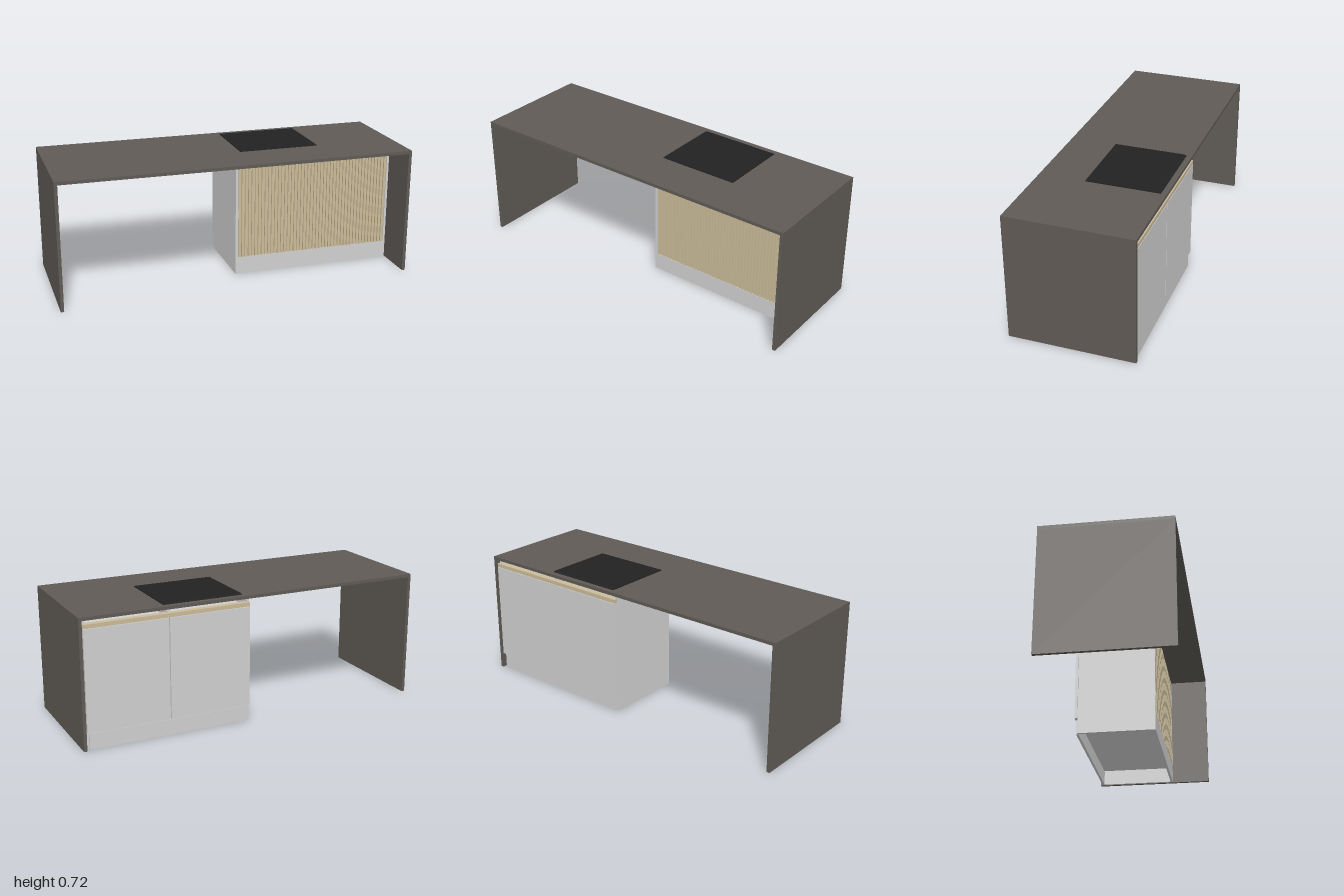
import * as THREE from 'three';

const material = (name, color, extra = {}) => {
  const m = new THREE.MeshStandardMaterial({ color, ...extra });
  m.name = name;
  return m;
};

export function createModel() {
  const stone = material('dark stone', 0x5f5a55);
  const white = material('light grey lacquer', 0xd0d0d0);
  const wood = material('pale wood', 0xcabb99);
  const glass = material('black glass', 0x222222);

  const model = new THREE.Group();
  model.name = 'kitchenIsland';
  const cabinet = new THREE.Group();
  cabinet.name = 'cabinet';
  model.add(cabinet);

  // Box from its minimum and maximum on each axis
  const box = (parent, name, mat, [x0, x1], [y0, y1], [z0, z1]) => {
    const mesh = new THREE.Mesh(new THREE.BoxGeometry(x1 - x0, y1 - y0, z1 - z0), mat);
    mesh.position.set((x0 + x1) / 2, (y0 + y1) / 2, (z0 + z1) / 2);
    mesh.name = name;
    parent.add(mesh);
    return mesh;
  };

  // Worktop and the two full-depth end panels
  const depth = [-0.35, 0.35];
  box(model, 'worktop', stone, [-1, 1], [0.7, 0.718], depth);
  box(model, 'rightEndPanel', stone, [-1, -0.982], [0, 0.7], depth);
  box(model, 'leftEndPanel', stone, [0.982, 1], [0, 0.7], depth);

  // Hob: glass plate with a slim bevel along its back edge, and the body below
  const profile = new THREE.Shape([
    new THREE.Vector2(-0.09, 0.718), new THREE.Vector2(0.32, 0.718),
    new THREE.Vector2(0.305, 0.723), new THREE.Vector2(-0.09, 0.723),
  ]);
  const hob = new THREE.Mesh(
    new THREE.ExtrudeGeometry(profile, { depth: 0.456, bevelEnabled: false }), glass);
  hob.rotation.y = Math.PI / 2;
  hob.position.x = 0.075;
  hob.name = 'hobPlate';
  model.add(hob);
  box(model, 'hobBody', glass, [0.1, 0.505], [0.685, 0.7], [-0.29, 0.06]);

  // Carcass: sides, divider, floor and rails
  const inner = [0.055, 0.963];
  box(cabinet, 'rightSide', white, [0.04, 0.055], [0, 0.699], [-0.328, 0.12]);
  box(cabinet, 'leftSide', white, [0.963, 0.976], [0, 0.699], [-0.328, 0.12]);
  box(cabinet, 'divider', white, [0.503, 0.517], [0.11, 0.699], [-0.325, 0.1]);
  box(cabinet, 'floor', white, inner, [0.092, 0.108], [-0.328, 0.105]);
  box(cabinet, 'topRail', white, inner, [0.64, 0.654], [-0.325, -0.2]);

  // Hollow base
  box(cabinet, 'frontPlinth', white, inner, [0, 0.1], [0.106, 0.12]);
  box(cabinet, 'backPlinth', white, inner, [0, 0.088], [-0.338, -0.324]);
  box(cabinet, 'baseLining', stone, [0.055, 0.058], [0.001, 0.092], [-0.324, 0.106]);

  // Pair of doors with a wooden grip rail above
  for (const [name, x0, x1] of [['rightDoor', 0.041, 0.507], ['leftDoor', 0.512, 0.976]])
    box(cabinet, name, white, [x0, x1], [0.093, 0.654], [-0.347, -0.33]);
  box(cabinet, 'gripRail', wood, [0.041, 0.976], [0.656, 0.678], [-0.346, -0.312]);

  // Slatted front
  box(cabinet, 'slatBacking', wood, inner, [0.1, 0.699], [0.1, 0.108]);
  const count = 46;
  const pitch = (inner[1] - inner[0]) / count;
  for (let i = 0; i < count; i++) {
    const x = inner[0] + i * pitch;
    box(cabinet, 'slat', wood, [x + 0.003, x + pitch - 0.003], [0.1, 0.699], [0.108, 0.119]);
  }

  return model;
}
